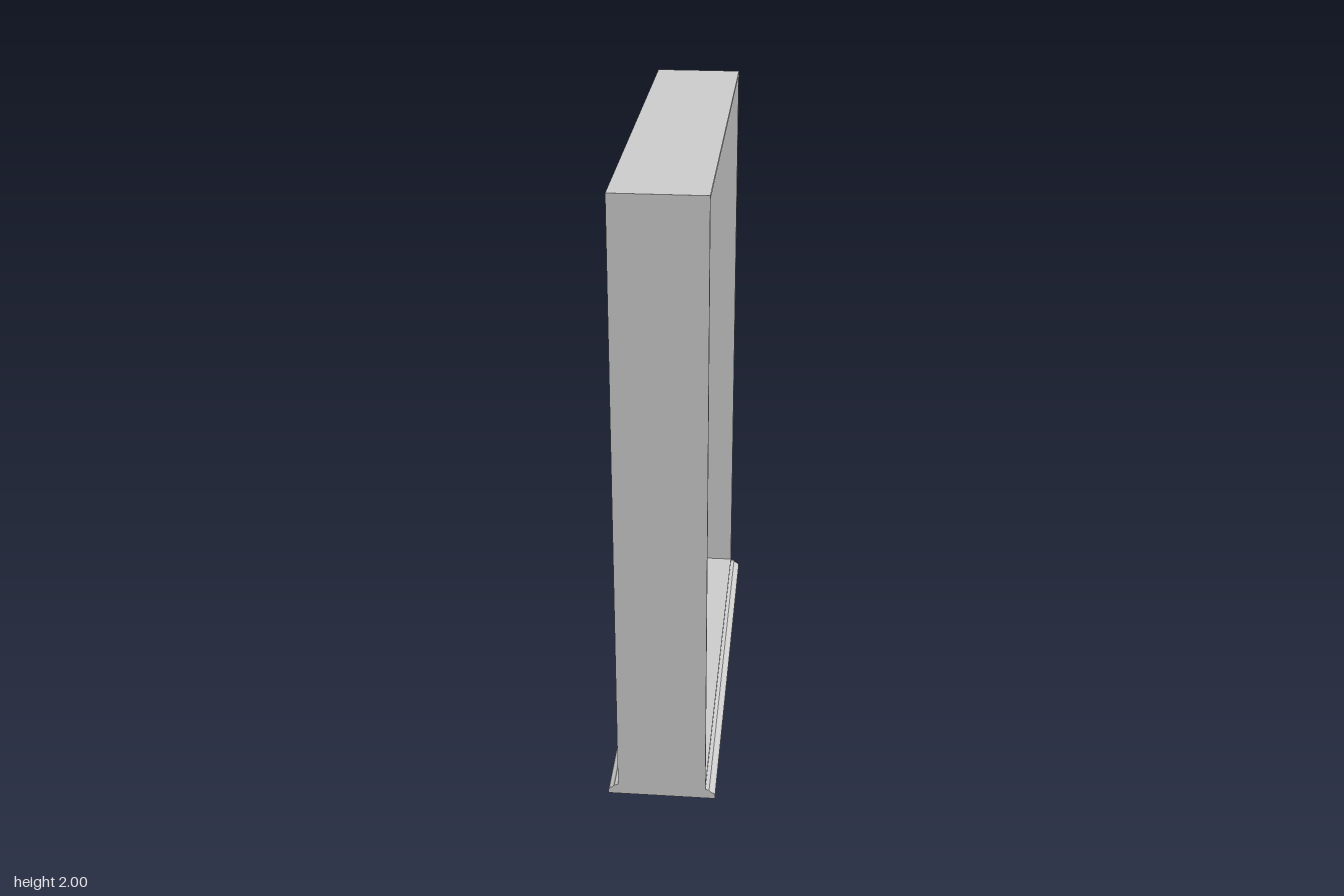
import * as THREE from 'three';

const mat = new THREE.MeshStandardMaterial({ color: 0xcccccc });

function add(parent, name, geo, x = 0, y = 0, z = 0) {
  const m = new THREE.Mesh(geo, mat);
  m.name = name;
  m.position.set(x, y, z);
  parent.add(m);
  return m;
}

function trace(target, pts) {
  pts.forEach(([a, b], i) => (i ? target.lineTo(a, b) : target.moveTo(a, b)));
  target.closePath();
  return target;
}

const rect = (z0, z1, y0, y1) => [[-z1, y0], [-z0, y0], [-z0, y1], [-z1, y1]];

// Rectangle in the z-y plane with rectangular holes, given thickness from x0 to x1
function framePlate(outer, holes, x0, x1) {
  const shape = trace(new THREE.Shape(), rect(...outer));
  holes.forEach(h => shape.holes.push(trace(new THREE.Path(), rect(...h))));
  const geo = new THREE.ExtrudeGeometry(shape, { depth: x1 - x0, bevelEnabled: false });
  geo.rotateY(Math.PI / 2);
  geo.translate(x0, 0, 0);
  return geo;
}

// Cross-section in x-y, swept along the full width in z
function sweep(pts, z0, z1) {
  const geo = new THREE.ExtrudeGeometry(trace(new THREE.Shape(), pts), { depth: z1 - z0, bevelEnabled: false });
  geo.translate(0, 0, z0);
  return geo;
}

export function createModel() {
  const model = new THREE.Group();
  model.name = 'window';
  const W = 0.712;

  // Deep outer casing
  add(model, 'casing', framePlate([-W, W, 0.01, 2], [[-0.699, 0.699, 0.045, 1.988]], -0.14, 0.14));

  // Sill with rounded noses on both sides
  const nose = [[0.171, 0], [0.171, 0.013], [0.166, 0.021], [0.157, 0.025], [0.152, 0.032], [0.14, 0.035]];
  const sill = [...nose, ...nose.map(([x, y]) => [-x, y]).reverse()];
  add(model, 'sill', sweep(sill, -W, W));

  // Inner frame: two tall lights below, two small panels above
  add(model, 'innerFrame', framePlate([-0.7, 0.7, 0.04, 1.99], [
    [-0.682, -0.019, 0.068, 1.545], [0.019, 0.682, 0.068, 1.545],
    [-0.67, -0.026, 1.597, 1.962], [0.026, 0.67, 1.597, 1.962],
  ], -0.06, 0));

  // Solid infill panels
  for (const s of [-1, 1]) {
    add(model, s > 0 ? 'louverBacking' : 'solidPanel',
      new THREE.BoxGeometry(0.03, 0.365, 0.644), -0.037, 1.7795, s * 0.348);
  }

  // Sloping louver slats
  const louver = new THREE.Group();
  louver.name = 'louver';
  model.add(louver);
  const slat = sweep([[-0.024, 0.02], [0.002, 0], [0.004, 0.004], [-0.022, 0.026]], 0.026, 0.67);
  for (let i = 0; i < 11; i++) add(louver, 'slat', slat, 0, 1.602 + i * 0.0325, 0);

  // Scalloped hinges on the left jamb
  for (const y of [0.24, 1.45]) {
    const hinge = new THREE.Group();
    hinge.name = 'hinge';
    hinge.position.set(-0.06, y, 0.69);
    model.add(hinge);
    add(hinge, 'hingeLeaf', new THREE.BoxGeometry(0.012, 0.12, 0.012));
    for (const dy of [-0.035, 0.035]) {
      const lobe = new THREE.CylinderGeometry(0.022, 0.022, 0.012, 16).rotateX(Math.PI / 2);
      add(hinge, 'hingeLobe', lobe, 0, dy, 0);
    }
  }

  return model;
}
